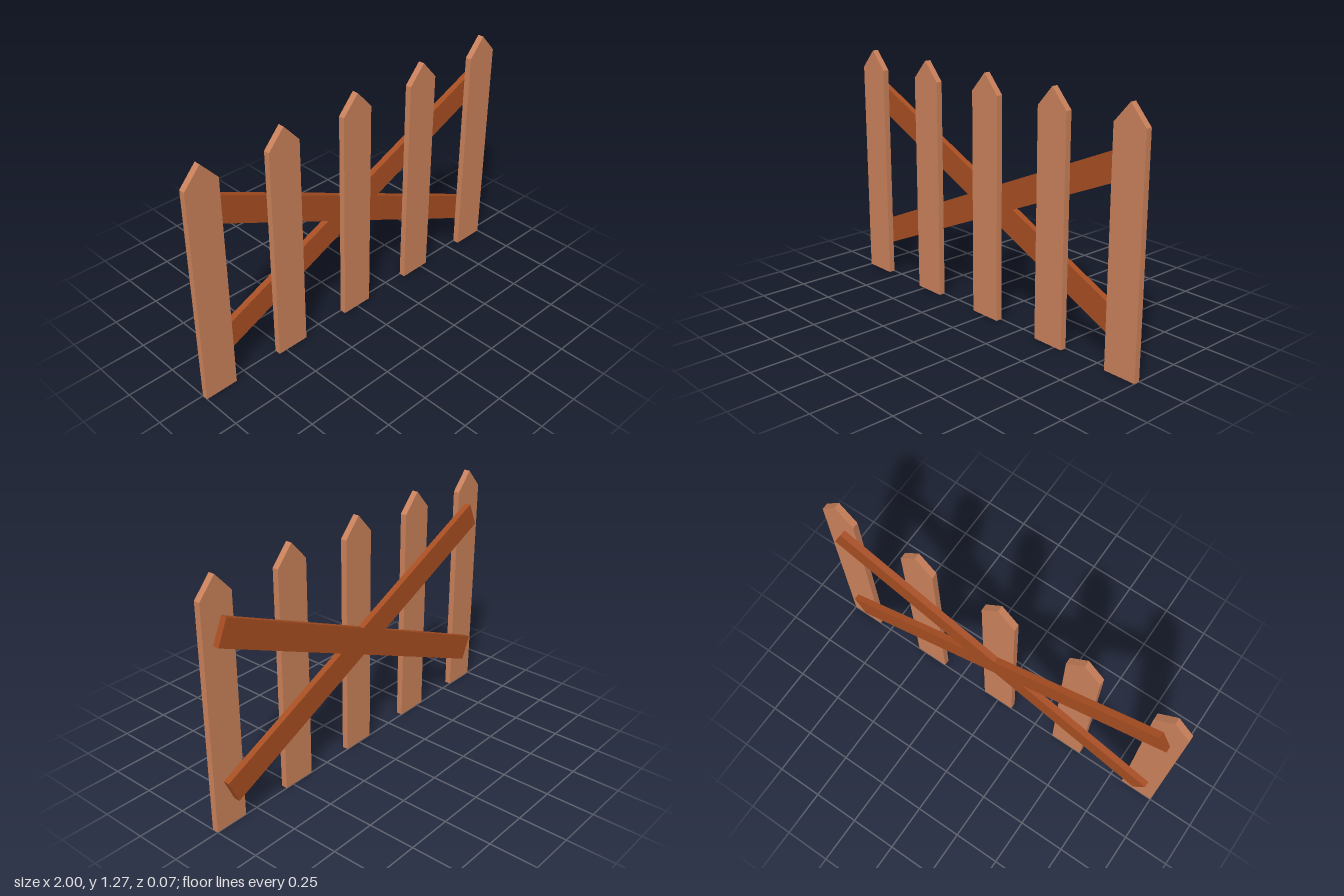
import * as THREE from 'three';

const THICK = 0.033;

export function createModel() {
  const fence = new THREE.Group();
  fence.name = 'picketFence';

  const picketMat = new THREE.MeshStandardMaterial({ color: 0xc9805a, flatShading: true });
  const railMat = new THREE.MeshStandardMaterial({ color: 0xa64d21, flatShading: true });

  // Pointed picket outline, extruded forward from z = 0
  const half = 0.09, shoulder = 1.17, peak = 1.27;
  const outline = new THREE.Shape([
    new THREE.Vector2(-half, 0),
    new THREE.Vector2(half, 0),
    new THREE.Vector2(half, shoulder),
    new THREE.Vector2(0, peak),
    new THREE.Vector2(-half, shoulder),
  ]);
  const picketGeo = new THREE.ExtrudeGeometry(outline, { depth: THICK, bevelEnabled: false });

  for (let i = -2; i <= 2; i++) {
    const picket = new THREE.Mesh(picketGeo, picketMat);
    picket.name = `picket${i + 3}`;
    picket.position.x = i * 0.455;
    fence.add(picket);
  }

  // Two crossed rails fixed to the back of the pickets
  const addRail = (name, length, degrees) => {
    const rail = new THREE.Mesh(new THREE.BoxGeometry(length, 0.137, THICK), railMat);
    rail.name = name;
    rail.position.set(0, 0.612, -THICK / 2);
    rail.rotation.z = THREE.MathUtils.degToRad(degrees);
    fence.add(rail);
  };
  addRail('fallingRail', 2.01, -24.7);
  addRail('risingRail', 2.0, 23.6);

  return fence;
}
